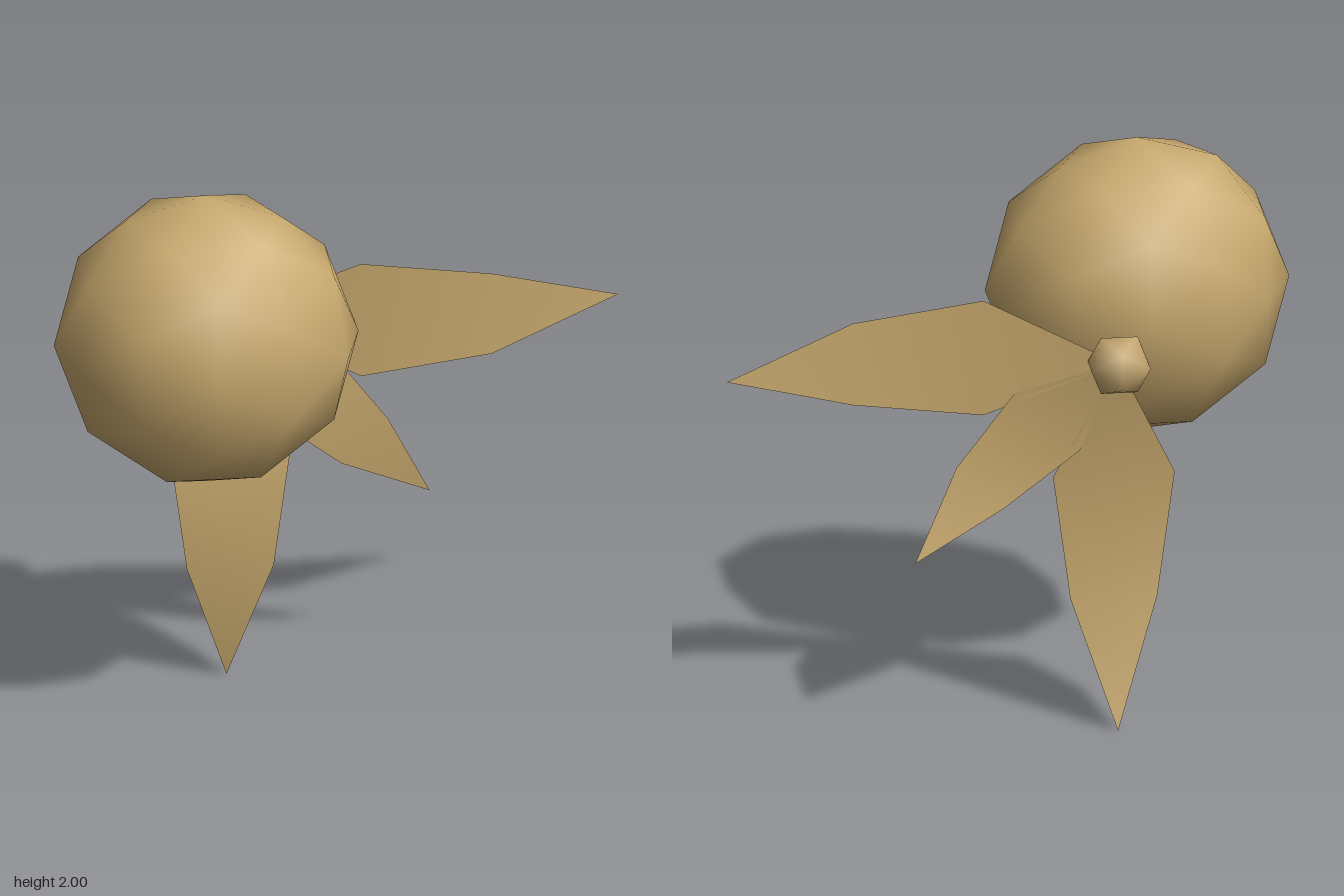
import * as THREE from 'three';
import { mergeVertices } from 'three/addons/utils/BufferGeometryUtils.js';

const HUB = [-0.35, 1.35, -0.39];

// Faceted ball with smooth shading; dents are [x, y, z, radial scale] for chosen corners
function ball(detail, sx, sy, sz, dents = []) {
  let g = new THREE.IcosahedronGeometry(1, detail);
  g.deleteAttribute('normal');
  g.deleteAttribute('uv');
  g = mergeVertices(g, 1e-3);
  const p = g.attributes.position;
  const v = new THREE.Vector3();
  const d = new THREE.Vector3();
  for (let i = 0; i < p.count; i++) {
    v.fromBufferAttribute(p, i);
    for (const [x, y, z, s] of dents) {
      if (v.distanceTo(d.set(x, y, z)) < 0.05) { v.multiplyScalar(s); break; }
    }
    p.setXYZ(i, v.x * sx, v.y * sy, v.z * sz);
  }
  g.computeVertexNormals();
  return g;
}

// Pointed leaf along +x from the hub, arched toward +z in its middle third
function leaf(length, w1, w2, arch) {
  const a = length / 3, b = a * 2;
  const g = new THREE.BufferGeometry();
  g.setAttribute('position', new THREE.Float32BufferAttribute([
    0, 0, 0,
    a, -w1, arch, a, w1, arch,
    b, -w2, arch, b, w2, arch,
    length, 0, 0,
  ], 3));
  g.setIndex([0, 1, 2, 1, 3, 4, 1, 4, 2, 3, 5, 4]);
  g.computeVertexNormals();
  return g;
}

export function createModel() {
  const group = new THREE.Group();
  const tan = new THREE.MeshStandardMaterial({ color: 0xc8a96e, side: THREE.DoubleSide });
  tan.name = 'tan';

  const add = (name, geometry, x, y, z, turn = 0) => {
    const m = new THREE.Mesh(geometry, tan);
    m.name = name;
    m.position.set(x, y, z);
    m.rotation.z = turn;
    group.add(m);
  };

  // Large, slightly uneven round body
  const A = 0.526, B = 0.851;
  add('body', ball(1, 0.525, 0.535, 0.44, [
    [A, B, 0, 0.96], [-A, -B, 0, 0.94], [A, -B, 0, 0.955],
    [B, 0, -A, 1.07], [-B, 0, -A, 0.96], [-B, 0, A, 1.03], [B, 0, A, 1.03],
  ]), -0.475, 1.465, 0.06);

  // Small knob where the leaves meet
  add('knob', ball(0, 0.12, 0.12, 0.096), -0.35, 1.355, -0.42);

  // Two long leaves and a shorter one between them
  add('sideLeaf', leaf(1.35, 0.21, 0.15, 0.11), ...HUB, 0);
  add('lowerLeaf', leaf(1.35, 0.21, 0.15, 0.11), ...HUB, -Math.PI / 2);
  add('shortLeaf', leaf(0.99, 0.158, 0.113, 0.08), ...HUB, -Math.PI / 4);

  return group;
}
